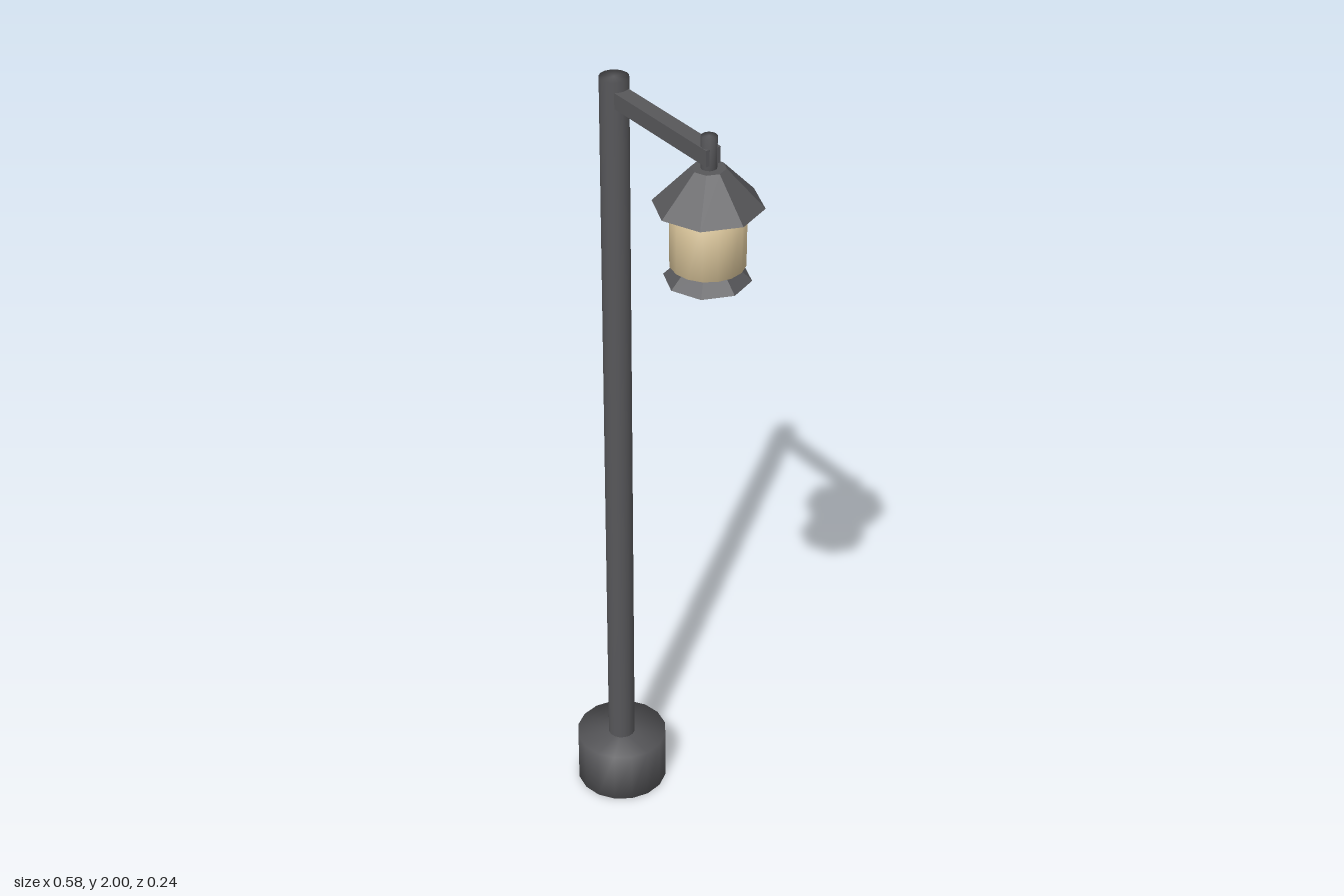
import * as THREE from 'three';
import { mergeVertices } from 'three/addons/utils/BufferGeometryUtils.js';

const POLE_X = -0.177, LAMP_X = 0.168;

// Cylinder whose normals run smoothly across the rims
function softCylinder(radius, height, sides) {
  const g = new THREE.CylinderGeometry(radius, radius, height, sides);
  g.deleteAttribute('normal');
  g.deleteAttribute('uv');
  const soft = mergeVertices(g, 1e-4);
  soft.computeVertexNormals();
  return soft;
}

// Faceted frustum with hard edges
function facetedCone(top, bottom, height, sides) {
  const g = new THREE.CylinderGeometry(top, bottom, height, sides).toNonIndexed();
  g.computeVertexNormals();
  return g;
}

export function createModel() {
  const model = new THREE.Group();
  model.name = 'streetLamp';

  const iron = new THREE.MeshStandardMaterial({ color: 0x57575a });
  iron.name = 'dark iron';
  const glow = new THREE.MeshStandardMaterial({ color: 0xdcc79c });
  glow.name = 'warm glass';

  // Adds a part spanning y0 upward by its height
  const add = (name, geometry, material, x, y, parent = model) => {
    const mesh = new THREE.Mesh(geometry, material);
    mesh.name = name;
    mesh.position.set(x, y, 0);
    parent.add(mesh);
    return mesh;
  };

  // Post on its round footing
  add('base', softCylinder(0.115, 0.14, 16), iron, POLE_X, 0.07);
  add('pole', softCylinder(0.034, 1.9, 16), iron, POLE_X, 1.05);

  // Horizontal arm
  add('arm', new THREE.BoxGeometry(0.36, 0.038, 0.038), iron, 0.003, 1.957);

  // Hanging lantern
  const lantern = new THREE.Group();
  lantern.name = 'lantern';
  lantern.position.x = LAMP_X;
  model.add(lantern);
  add('hangerPin', softCylinder(0.018, 0.08, 12), iron, 0, 1.96, lantern);
  add('roof', facetedCone(0.038, 0.122, 0.088, 8), iron, 0, 1.882, lantern);
  add('glass', softCylinder(0.084, 0.146, 16), glow, 0, 1.769, lantern);
  add('bottomPlate', facetedCone(0.058, 0.097, 0.038, 8), iron, 0, 1.679, lantern);

  return model;
}
